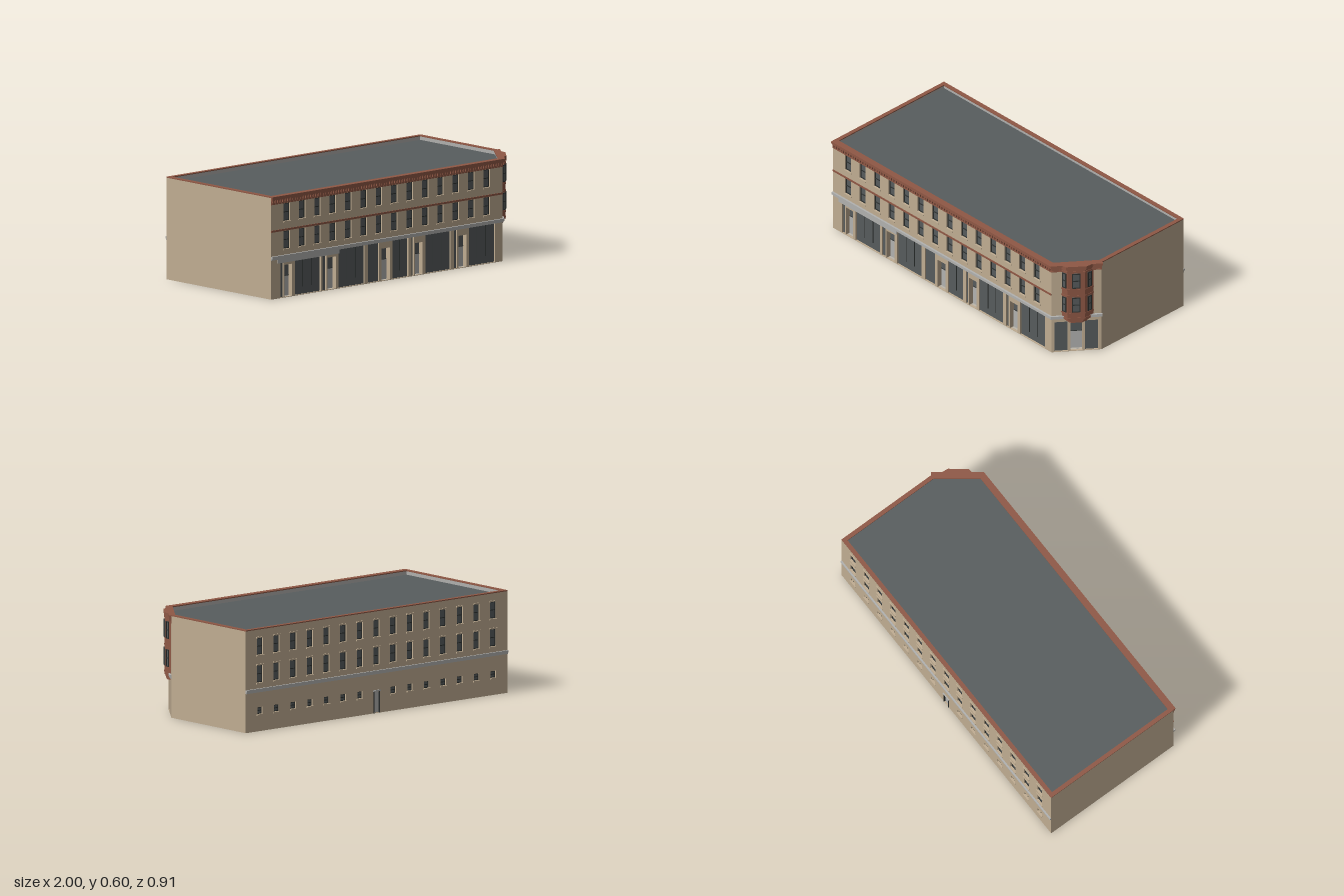
import * as THREE from 'three';

const mat = (name, color, side = THREE.FrontSide) => {
  const m = new THREE.MeshStandardMaterial({ color, side });
  m.name = name;
  return m;
};

export function createModel() {
  const tan = mat('tan masonry', 0xc0ad92);
  const brick = mat('red brick', 0x8f5845);
  const glassMat = mat('dark glass', 0x565b5c);
  const roofMat = mat('roof grey', 0x585d5e);
  const frameMat = mat('black frame', 0x2e3231);
  const stone = mat('pale stone', 0xb2b2b0);
  const liningMat = mat('inner plaster', 0xb0afad, THREE.DoubleSide);

  const model = new THREE.Group();
  model.name = 'cornerBuilding';

  const add = (parent, name, geo, material, x = 0, y = 0, z = 0) => {
    const m = new THREE.Mesh(geo, material);
    m.name = name;
    m.position.set(x, y, z);
    parent.add(m);
    return m;
  };
  // Box given by its limits
  const slab = (parent, name, material, x0, x1, y0, y1, z0, z1) =>
    add(parent, name, new THREE.BoxGeometry(x1 - x0, y1 - y0, z1 - z0), material,
      (x0 + x1) / 2, (y0 + y1) / 2, (z0 + z1) / 2);

  const rectPath = (x0, x1, y0, y1, P = THREE.Path) => {
    const p = new P();
    p.moveTo(x0, y0); p.lineTo(x1, y0); p.lineTo(x1, y1); p.lineTo(x0, y1); p.closePath();
    return p;
  };

  // Group whose local x runs from a to b, y up, z outward
  const facet = (name, a, b) => {
    const g = new THREE.Group();
    g.name = name;
    g.position.set((a[0] + b[0]) / 2, 0, (a[1] + b[1]) / 2);
    g.rotation.y = Math.atan2(a[1] - b[1], b[0] - a[0]);
    g.userData.half = Math.hypot(b[0] - a[0], b[1] - a[1]) / 2;
    model.add(g);
    return g;
  };

  // Wall with openings [x0, x1, y0, y1]; through openings also pierce the lining
  const wall = (g, through = [], blind = []) => {
    const h = g.userData.half;
    const outer = rectPath(-h, h, 0, 0.597, THREE.Shape);
    const inner = rectPath(-h, h, 0, 0.597, THREE.Shape);
    [...through, ...blind].forEach(o => outer.holes.push(rectPath(...o)));
    through.forEach(o => inner.holes.push(rectPath(...o)));
    add(g, 'wall', new THREE.ExtrudeGeometry(outer, { depth: 0.015, bevelEnabled: false }), tan, 0, 0, -0.015);
    add(g, 'wallLining', new THREE.ShapeGeometry(inner), liningMat, 0, 0, -0.0165);
    slab(g, 'coping', brick, -h, h, 0.594, 0.6, -0.024, 0.001);
  };

  // Two-pane sash window
  const sash = (g, [x0, x1, y0, y1], z) => {
    const t = 0.005, ym = (y0 + y1) / 2;
    slab(g, 'windowGlass', glassMat, x0, x1, y0, y1, z, z + 0.002);
    const s = rectPath(x0, x1, y0, y1, THREE.Shape);
    s.holes.push(rectPath(x0 + t, x1 - t, y0 + t, ym - t / 2), rectPath(x0 + t, x1 - t, ym + t / 2, y1 - t));
    add(g, 'windowFrame', new THREE.ExtrudeGeometry(s, { depth: 0.004, bevelEnabled: false }), frameMat, 0, 0, z + 0.002);
  };
  const ledge = (g, o, material, y0, y1, d) =>
    slab(g, 'windowLedge', material, o[0] - 0.005, o[1] + 0.005, y0, y1, 0, d);

  // Large shop pane with thin mullions
  const shopPane = (g, [x0, x1, y0, y1]) => {
    slab(g, 'shopGlass', glassMat, x0, x1, y0, y1, -0.014, -0.01);
    const n = Math.round((x1 - x0) / 0.07);
    for (let i = 1; i < n; i++) {
      const x = x0 + (x1 - x0) * i / n;
      slab(g, 'shopMullion', frameMat, x - 0.0015, x + 0.0015, 0.045, y1, -0.01, -0.007);
    }
  };

  // Door set back in a shallow vestibule
  const recessedDoor = (g, [x0, x1, y0, y1]) => {
    const zb = -0.035;
    slab(g, 'door', stone, x0, x1, y0, 0.12, zb, zb + 0.005);
    slab(g, 'doorTransom', glassMat, x0, x1, 0.12, y1, zb, zb + 0.004);
    slab(g, 'doorRail', frameMat, x0, x1, 0.119, 0.122, zb + 0.004, zb + 0.007);
    [x0 - 0.004, x1].forEach(x => slab(g, 'doorCheek', tan, x, x + 0.004, y0, y1, zb, -0.014));
    slab(g, 'doorSoffit', tan, x0 - 0.004, x1 + 0.004, y1, y1 + 0.004, zb, -0.014);
  };

  // Layered brick cornice with dentils
  const cornice = (g, x0, x1) => {
    [[0.59, 0.6, 0.015], [0.58, 0.59, 0.011], [0.574, 0.58, 0.007], [0.555, 0.574, 0.003], [0.552, 0.557, 0.005]]
      .forEach(([y0, y1, d]) => slab(g, 'corniceLayer', brick, x0 - d / 2 * (x0 > -0.3), x1 + d / 2, y0, y1, 0, d));
    const n = Math.round((x1 - x0) / 0.02);
    for (let i = 0; i < n; i++) {
      const x = x0 + (i + 0.5) * (x1 - x0) / n;
      slab(g, 'dentil', brick, x - 0.005, x + 0.005, 0.562, 0.58, 0.003, 0.01);
    }
  };

  const A = [0.81, 0.44], B = [0.985, 0.21], C = [0.985, -0.445], D = [-1, -0.445], E = [-1, 0.44];

  // Front: two rows of windows over a line of shops
  const front = facet('frontFacade', E, A);
  const fx = x => x + 0.095;
  const frontWins = [];
  for (let i = 0; i < 14; i++) {
    const x = fx(-0.877 + i * 0.1203);
    frontWins.push([x - 0.025, x + 0.025, 0.284, 0.388], [x - 0.025, x + 0.025, 0.446, 0.55]);
  }
  const doors = [[-0.893, -0.834], [-0.556, -0.492], [-0.134, -0.07], [0.128, 0.187], [0.465, 0.53]]
    .map(([a, b]) => [fx(a), fx(b), 0.003, 0.19]);
  const panes = [[-0.925, -0.9], [-0.813, -0.61], [-0.595, -0.567], [-0.47, -0.267], [-0.24, -0.155],
    [-0.048, 0.075], [0.1, 0.118], [0.208, 0.406], [0.433, 0.455], [0.55, 0.754]]
    .map(([a, b]) => [fx(a), fx(b), 0.003, 0.227]);
  wall(front, [...frontWins, ...doors], panes);
  frontWins.forEach(o => {
    sash(front, o, -0.014);
    ledge(front, o, tan, o[2] - 0.008, o[2], 0.004);
  });
  doors.forEach(o => recessedDoor(front, o));
  panes.forEach(o => shopPane(front, o));
  const fh = front.userData.half;
  slab(front, 'stringCourse', brick, -fh, fh, 0.391, 0.402, 0, 0.004);
  slab(front, 'shopCornice', stone, -fh, fh + 0.005, 0.236, 0.25, 0, 0.012);
  slab(front, 'shopFascia', stone, -fh, fh + 0.002, 0.228, 0.236, 0, 0.006);
  slab(front, 'signBoard', stone, fx(-0.95), fx(-0.47), 0.205, 0.229, 0, 0.005);
  cornice(front, -fh, fh);

  // Angled corner with its own entrance
  const corner = facet('cornerFacade', A, B);
  const ch = corner.userData.half;
  const cornerDoor = [-0.034, 0.034, 0.003, 0.2];
  const cornerPanes = [[-0.126, -0.05, 0.003, 0.205], [0.05, 0.126, 0.003, 0.205]];
  wall(corner, [cornerDoor], cornerPanes);
  recessedDoor(corner, cornerDoor);
  cornerPanes.forEach(o => shopPane(corner, o));
  [[-ch - 0.006, -0.075], [0.075, ch + 0.004]].forEach(([a, b]) => {
    slab(corner, 'shopCornice', stone, a, b, 0.236, 0.25, 0, 0.012);
    slab(corner, 'shopFascia', stone, a, b, 0.228, 0.236, 0, 0.006);
  });
  cornice(corner, -ch, ch);

  // Brick oriel bay on the corner
  const bayPts = [[0.846, 0.393], [0.886, 0.386], [0.95, 0.306], [0.957, 0.247]];
  const mid = [0.8975, 0.325];
  const bayLayer = (name, y0, y1, k) => {
    const s = new THREE.Shape(bayPts.map(p =>
      new THREE.Vector2(mid[0] + (p[0] - mid[0]) * k, -(mid[1] + (p[1] - mid[1]) * k))));
    const geo = new THREE.ExtrudeGeometry(s, { depth: y1 - y0, bevelEnabled: false });
    geo.rotateX(-Math.PI / 2);
    add(model, name, geo, brick, 0, y0, 0);
  };
  bayLayer('bayBody', 0.238, 0.598, 1);
  [0.62, 0.72, 0.82, 0.92].forEach((k, i) => bayLayer('bayCorbel', 0.205 + i * 0.008, 0.2135 + i * 0.008, k));
  [[0.238, 0.246, 1.05], [0.272, 0.28, 1.04], [0.393, 0.401, 1.04], [0.434, 0.442, 1.04],
    [0.556, 0.564, 1.05], [0.572, 0.582, 1.1], [0.582, 0.6, 1.17]]
    .forEach(([y0, y1, k]) => bayLayer('bayMoulding', y0, y1, k));
  bayPts.slice(0, 3).forEach((p, i) => {
    const g = facet('bayFace', p, bayPts[i + 1]);
    const w = i === 1 ? 0.024 : 0.0135;
    [0.286, 0.45].forEach(y => sash(g, [-w, w, y, y + 0.1], 0));
  });

  // Plain side walls
  wall(facet('rightWall', B, C));
  wall(facet('leftWall', D, E));

  // Back: two rows of windows, small ground lights and a door
  const back = facet('backFacade', C, D);
  const bh = back.userData.half;
  const tall = [], small = [];
  const backDoor = [-0.022, 0.022, 0.003, 0.125];
  for (let i = 0; i < 15; i++) {
    const x = (i - 7) * 0.1264;
    tall.push([x - 0.023, x + 0.023, 0.284, 0.385], [x - 0.023, x + 0.023, 0.446, 0.545]);
    if (i !== 7) small.push([x - 0.02, x + 0.02, 0.1, 0.14]);
  }
  wall(back, [...tall, ...small], [backDoor]);
  tall.forEach(o => {
    sash(back, o, -0.014);
    ledge(back, o, tan, o[2] - 0.008, o[2], 0.006);
    ledge(back, o, tan, o[3], o[3] + 0.008, 0.005);
  });
  small.forEach(o => {
    sash(back, o, -0.014);
    ledge(back, o, tan, 0.092, 0.1, 0.006);
  });
  slab(back, 'backDoor', stone, ...backDoor, -0.014, -0.008);
  [-0.024, 0.02].forEach(x => slab(back, 'backDoorJamb', frameMat, x, x + 0.004, 0, 0.127, -0.008, 0.003));
  slab(back, 'backDoorHead', stone, -0.028, 0.028, 0.127, 0.135, 0, 0.006);
  slab(back, 'backBand', stone, -bh, bh, 0.238, 0.25, 0, 0.01);
  slab(back, 'backBandLower', stone, -bh, bh, 0.228, 0.238, 0, 0.005);

  // Flat roof sunk behind the parapet
  const roofShape = new THREE.Shape(
    [[-0.99, 0.43], [0.803, 0.43], [0.975, 0.205], [0.975, -0.435], [-0.99, -0.435]]
      .map(p => new THREE.Vector2(p[0], -p[1])));
  const roofGeo = new THREE.ExtrudeGeometry(roofShape, { depth: 0.006, bevelEnabled: false });
  roofGeo.rotateX(-Math.PI / 2);
  add(model, 'roof', roofGeo, roofMat, 0, 0.566, 0);

  return model;
}
